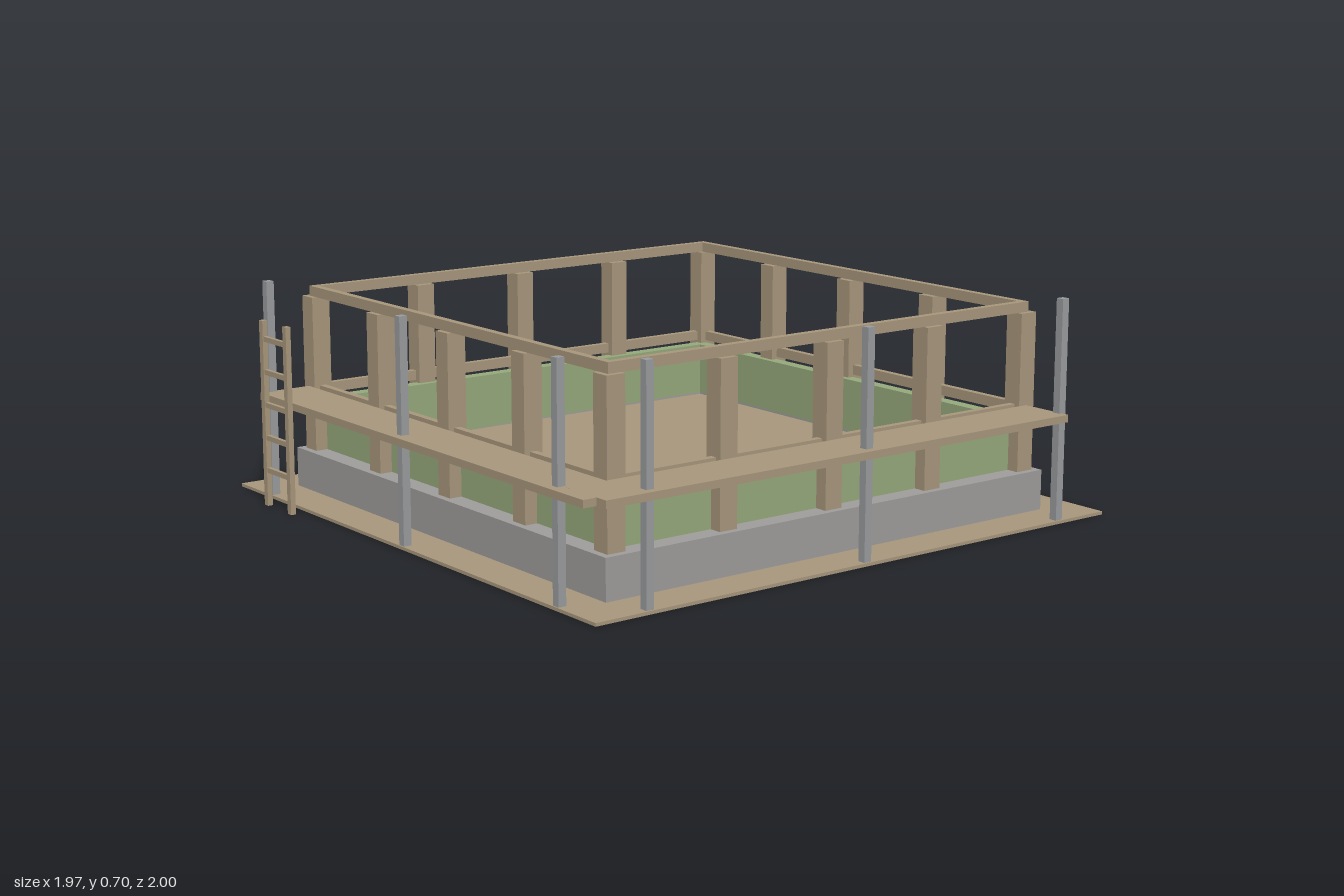
import * as THREE from 'three';

export function createModel() {
  const group = new THREE.Group();
  const mat = (name, color) => {
    const m = new THREE.MeshStandardMaterial({ color });
    m.name = name;
    return m;
  };
  const wood = mat('wood', 0xa8977c);
  const green = mat('green panel', 0x95a97c);
  const concrete = mat('concrete', 0x9f9d9b);
  const steel = mat('steel', 0x9a9b9e);

  // Box given by its limits on each axis
  const box = (name, material, x0, x1, y0, y1, z0, z1) => {
    const mesh = new THREE.Mesh(new THREE.BoxGeometry(x1 - x0, y1 - y0, z1 - z0), material);
    mesh.position.set((x0 + x1) / 2, (y0 + y1) / 2, (z0 + z1) / 2);
    mesh.name = name;
    group.add(mesh);
  };

  // The walled square is centred slightly off the origin
  const cx = -0.0135, cz = -0.029;

  // Square ring of four butted boxes between two half widths
  const ring = (name, material, inner, outer, y0, y1) => {
    for (const s of [-1, 1]) {
      const a = Math.min(s * inner, s * outer), b = Math.max(s * inner, s * outer);
      box(name, material, cx - outer, cx + outer, y0, y1, cz + a, cz + b);
      box(name, material, cx + a, cx + b, y0, y1, cz - inner, cz + inner);
    }
  };

  // Ground board, foundation and raised inner floor
  box('groundBoard', wood, -0.985, 0.96, 0, 0.01, -1, 0.942);
  ring('foundation', concrete, 0.733, 0.838, 0.01, 0.136);
  box('floor', wood, cx - 0.733, cx + 0.733, 0.01, 0.13, cz - 0.733, cz + 0.733);

  // Low walls with sill rail and top rail
  ring('lowWall', green, 0.733, 0.775, 0.13, 0.308);
  ring('sillRail', wood, 0.775, 0.797, 0.316, 0.348);
  ring('topRail', wood, 0.775, 0.799, 0.632, 0.664);

  // Posts around the perimeter, five to a side
  const pitch = 0.3925, h = 0.031;
  for (let i = -2; i <= 2; i++) {
    for (let j = -2; j <= 2; j++) {
      if (Math.max(Math.abs(i), Math.abs(j)) < 2) continue;
      const x = cx + i * pitch, z = cz + j * pitch;
      box('post', wood, x - h, x + h, 0.136, 0.632, z - h, z + h);
    }
  }

  // Walkway along the front and the left side
  box('frontWalkway', wood, -0.797, 0.938, 0.321, 0.344, 0.79, 0.965);
  box('sideWalkway', wood, 0.803, 0.98, 0.3212, 0.3442, -0.812, 0.921);

  // Scaffold poles through the walkway
  const pole = (x, z) => box('pole', steel, x - 0.013, x + 0.013, 0, 0.696, z - 0.013, z + 0.013);
  for (const k of [-1, 0, 1]) {
    pole(cx + k * 0.785, 0.925);
    pole(0.941, cz + k * 0.785);
  }

  // Ladder
  for (const x of [-0.727, -0.581]) box('ladderRail', wood, x, x + 0.021, 0, 0.59, 0.983, 1);
  for (let i = 0; i < 5; i++) {
    const y = 0.115 + i * 0.1045;
    box('ladderRung', wood, -0.708, -0.579, y - 0.008, y + 0.008, 0.985, 0.998);
  }

  return group;
}
